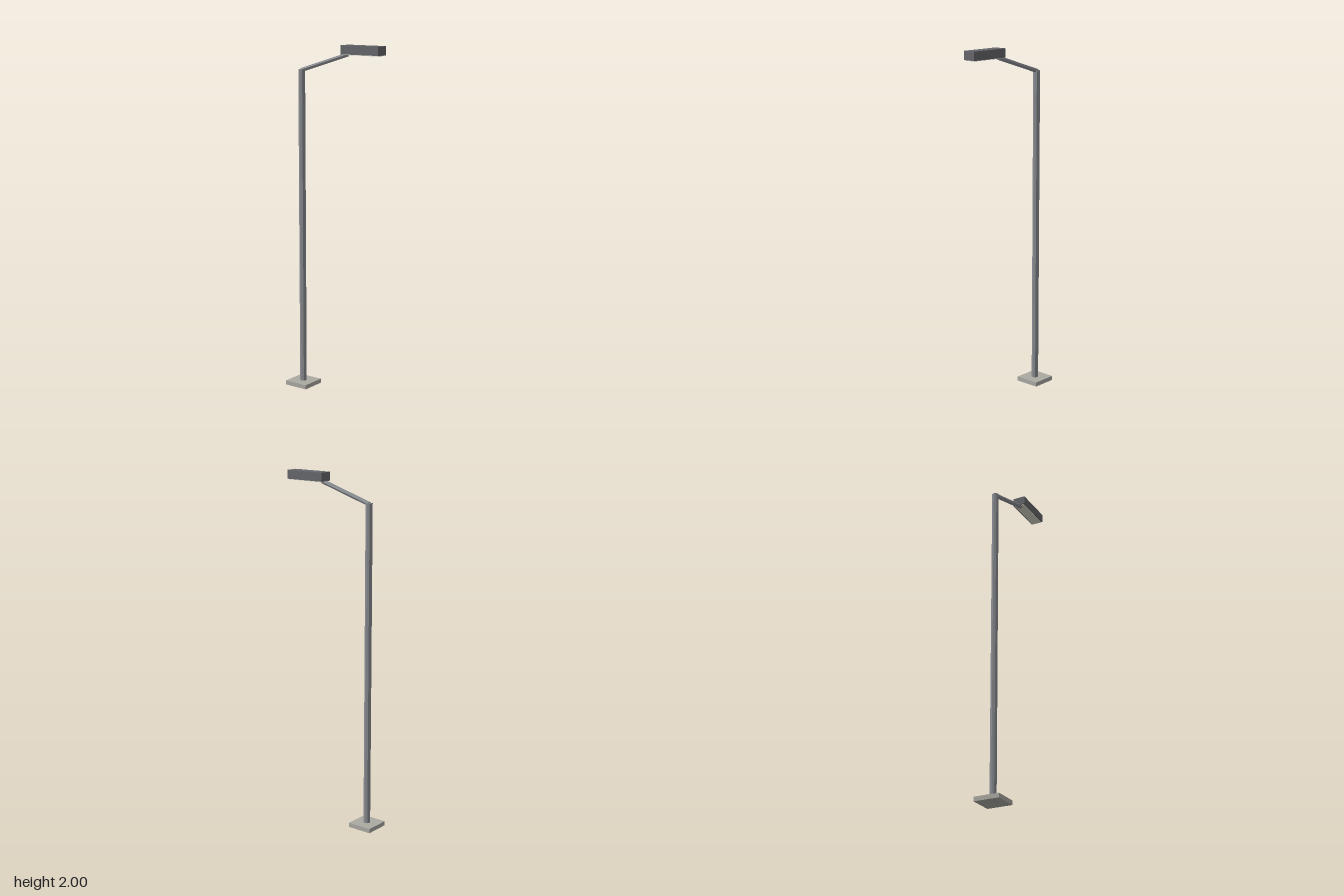
import * as THREE from 'three';

const POLE_Z = -0.236;

function material(color) {
  return new THREE.MeshStandardMaterial({ color, flatShading: true });
}

function addMesh(group, name, geometry, mat, x, y, z) {
  const mesh = new THREE.Mesh(geometry, mat);
  mesh.name = name;
  mesh.position.set(x, y, z);
  group.add(mesh);
  return mesh;
}

export function createModel() {
  const group = new THREE.Group();
  group.name = 'streetLamp';
  const concrete = material(0xaaa9a2);
  const steel = material(0x8a8d92);
  const housing = material(0x66676c);
  const glass = material(0xd8d6c8);

  // Square footing
  addMesh(group, 'base', new THREE.BoxGeometry(0.147, 0.025, 0.147), concrete, 0, 0.0125, POLE_Z);

  // Eight-sided upright
  const bottom = 0.02, top = 1.855;
  addMesh(group, 'pole', new THREE.CylinderGeometry(0.0194, 0.0194, top - bottom, 8),
    steel, 0, (top + bottom) / 2, POLE_Z);

  // Six-sided arm rising forward, flat side up
  const start = new THREE.Vector3(0, 1.851, POLE_Z);
  const end = new THREE.Vector3(0, 1.949, 0.083);
  const span = end.clone().sub(start);
  const armGeometry = new THREE.CylinderGeometry(0.0123, 0.0123, span.length(), 6);
  armGeometry.rotateY(Math.PI / 2);
  const mid = start.clone().add(end).multiplyScalar(0.5);
  const arm = addMesh(group, 'arm', armGeometry, steel, mid.x, mid.y, mid.z);
  arm.rotation.x = Math.atan2(span.z, span.y);

  // Lamp head with a thin light panel underneath
  addMesh(group, 'lampHead', new THREE.BoxGeometry(0.0735, 0.049, 0.246), housing, 0, 1.9755, 0.185);
  addMesh(group, 'lightPanel', new THREE.BoxGeometry(0.059, 0.008, 0.231), glass, 0, 1.951, 0.185);

  return group;
}
